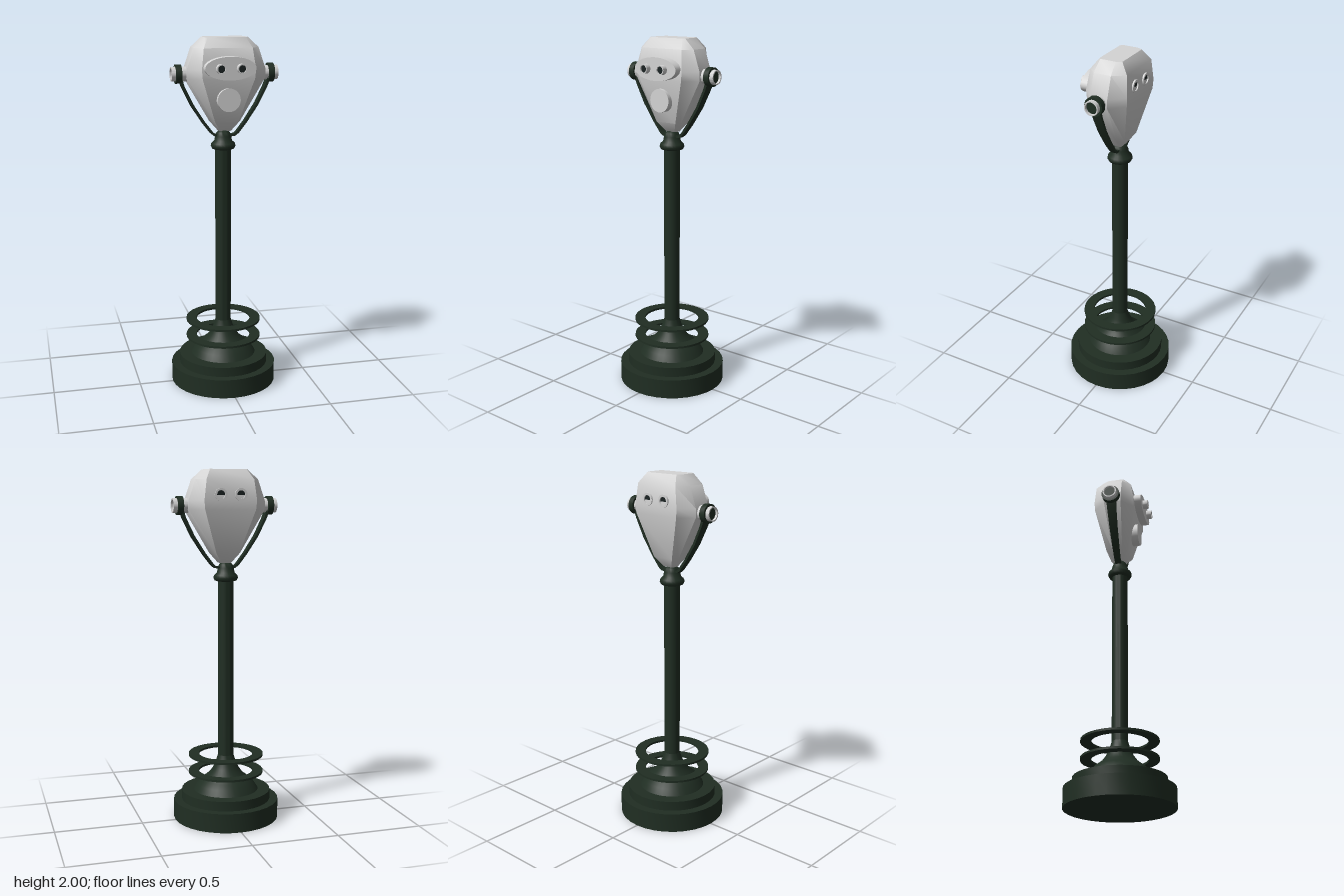
import * as THREE from 'three';
import { toCreasedNormals } from 'three/addons/utils/BufferGeometryUtils.js';

const CX = 0.007; // centre line of the viewer head

function material(name, color, extra = {}) {
  const m = new THREE.MeshStandardMaterial({ color, ...extra });
  m.name = name;
  return m;
}

// Turned profile, listed from bottom to top
function turned(points, segments = 32, crease = 0.5) {
  const pts = points.map(([r, y]) => new THREE.Vector2(r, y));
  return toCreasedNormals(new THREE.LatheGeometry(pts, segments), crease);
}

// Short tube along y with a recessed floor left open for a disc
const hollow = (outer, inner, length, recess) => turned([
  [0, 0], [outer, 0], [outer, length], [inner, length], [inner, length - recess],
], 24);

export function createModel() {
  const green = material('dark green paint', 0x202e23);
  const silver = material('light grey metal', 0xd4d4d4);
  const glass = material('dark glass', 0x1a2222);
  const model = new THREE.Group();

  function add(name, geometry, mat, parent = model, x = 0, y = 0, z = 0) {
    const mesh = new THREE.Mesh(geometry, mat);
    mesh.name = name;
    mesh.position.set(x, y, z);
    parent.add(mesh);
    return mesh;
  }

  // Stepped base, bell, pole and collar
  add('base', turned([[0, 0], [0.304, 0], [0.304, 0.11], [0.257, 0.11], [0.257, 0.165], [0, 0.165]]), green);
  add('bell', turned([
    [0.187, 0.165], [0.165, 0.2], [0.14, 0.225], [0.1, 0.256], [0.075, 0.29], [0.057, 0.33], [0.045, 0.37],
  ]), green);
  add('pole', turned([[0.045, 0.35], [0.045, 1.39]]), green);
  add('collar', turned([
    [0.045, 1.38], [0.062, 1.385], [0.07, 1.4], [0.066, 1.415], [0.05, 1.43], [0.045, 1.455],
    [0.038, 1.475], [0.025, 1.488], [0, 1.492],
  ], 24, 0.8), green);

  // Two flat foot rings
  for (const y of [0.265, 0.367]) {
    add('footRing', turned([
      [0.157, y], [0.216, y], [0.216, y + 0.012], [0.157, y + 0.012], [0.157, y],
    ]), green);
  }

  // Head shell: [y, side half width, face half width, side half depth, front z, back z]
  const sections = [
    [1.485, 0.035, 0.028, 0.015, 0.022, -0.028],
    [1.54, 0.082, 0.066, 0.03, 0.062, -0.068],
    [1.78, 0.22, 0.145, 0.05, 0.113, -0.122],
    [1.83, 0.22, 0.15, 0.05, 0.115, -0.125],
    [1.945, 0.18, 0.135, 0.05, 0.095, -0.117],
    [2.0, 0.12, 0.105, 0.045, 0.055, -0.075],
  ];
  const verts = [];
  for (const [y, a, b, s, f, k] of sections) {
    const ring = [[a, s], [b, f], [-b, f], [-a, s], [-a, -s], [-b, k], [b, k], [a, -s]];
    ring.forEach(([x, z]) => verts.push(x, y, z));
  }
  const index = [];
  const last = (sections.length - 1) * 8;
  for (let i = 0; i < last; i += 8) {
    for (let j = 0; j < 8; j++) {
      const n = (j + 1) % 8;
      index.push(i + j, i + 8 + j, i + 8 + n, i + j, i + 8 + n, i + n);
    }
  }
  for (let j = 1; j < 7; j++) index.push(0, j, j + 1, last, last + j + 1, last + j);
  const shell = new THREE.BufferGeometry();
  shell.setAttribute('position', new THREE.Float32BufferAttribute(verts, 3));
  shell.setIndex(index);
  const head = new THREE.Group();
  head.name = 'head';
  head.position.x = CX;
  model.add(head);
  add('headShell', toCreasedNormals(shell, 0.65), silver, head);

  // Oval eyepiece plate and round front plate
  const oval = new THREE.CylinderGeometry(1, 1, 0.065, 40).rotateX(Math.PI / 2).scale(0.141, 0.063, 1);
  add('eyepiecePlate', oval, silver, head, 0, 1.84, 0.1225);
  const round = new THREE.CylinderGeometry(0.064, 0.064, 0.06, 32).rotateX(Math.PI / 2);
  add('frontPlate', round, silver, head, 0, 1.667, 0.089);

  // Eyepieces in front, lenses behind
  for (const x of [-0.057, 0.057]) {
    add('eyepiece', hollow(0.026, 0.02, 0.045, 0.01).rotateX(Math.PI / 2), silver, head, x, 1.84, 0.14);
    add('eyepieceGlass', new THREE.CircleGeometry(0.0205, 24), glass, head, x, 1.84, 0.176);
    add('lensRim', hollow(0.035, 0.023, 0.03, 0.008).rotateX(-Math.PI / 2), silver, head, x, 1.862, -0.1);
    add('lensGlass', new THREE.CircleGeometry(0.0235, 24).rotateY(Math.PI), glass, head, x, 1.862, -0.123);
  }

  // Yoke: an arm, a collar and a pivot on each side
  const outline = new THREE.Shape([
    [0.255, 1.77], [0.24, 1.73], [0.19, 1.628], [0.125, 1.53], [0.08, 1.472], [0.06, 1.456], [0.03, 1.452],
    [0.03, 1.464], [0.055, 1.468], [0.07, 1.482], [0.115, 1.54], [0.178, 1.636], [0.227, 1.735], [0.24, 1.775],
  ].map(([x, y]) => new THREE.Vector2(x, y)));
  const armGeometry = new THREE.ExtrudeGeometry(outline, { depth: 1, bevelEnabled: false });
  armGeometry.translate(0, 0, -0.5);
  // Arm is wider at the pivot than at the pole
  const pos = armGeometry.attributes.position;
  for (let i = 0; i < pos.count; i++) {
    const t = (pos.getY(i) - 1.45) / 0.32;
    pos.setZ(i, pos.getZ(i) * (0.034 + 0.022 * t));
  }
  armGeometry.computeVertexNormals();
  for (const turn of [0, Math.PI]) {
    const side = new THREE.Group();
    side.name = turn ? 'rightYoke' : 'leftYoke';
    side.position.x = CX;
    side.rotation.y = turn;
    model.add(side);
    add('yokeArm', toCreasedNormals(armGeometry, 0.6), green, side);
    const collar = turned([[0, 0], [0.052, 0], [0.052, 0.032], [0, 0.032]], 24).rotateZ(-Math.PI / 2);
    add('yokeCollar', collar, green, side, 0.244, 1.803, 0);
    add('pivot', hollow(0.04, 0.033, 0.1, 0.015).rotateZ(-Math.PI / 2), silver, side, 0.199, 1.803, 0);
    add('pivotCap', new THREE.CircleGeometry(0.0335, 24).rotateY(Math.PI / 2), green, side, 0.285, 1.803, 0);
  }
  return model;
}
